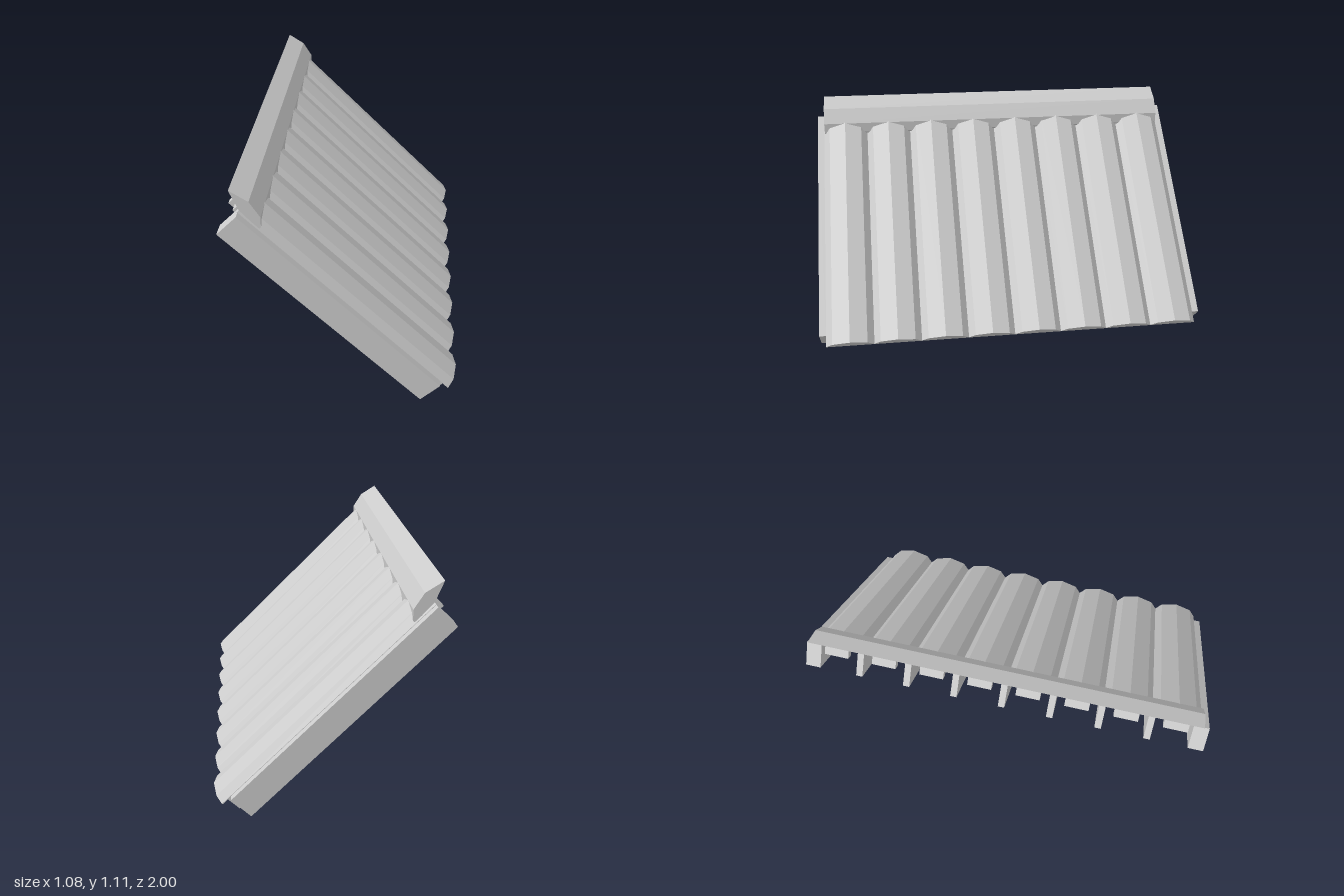
import * as THREE from 'three';

const mat = new THREE.MeshStandardMaterial({ color: 0xcccccc, flatShading: true });
const thinMat = new THREE.MeshStandardMaterial({ color: 0xcccccc, flatShading: true, side: THREE.DoubleSide });

const toShape = (points) => new THREE.Shape(points.map(([x, y]) => new THREE.Vector2(x, y)));

// Box given by its limits: x runs down the slope, y is square to it
function slab(name, x0, x1, y0, y1, z0, z1) {
  const mesh = new THREE.Mesh(new THREE.BoxGeometry(x1 - x0, y1 - y0, z1 - z0), mat);
  mesh.position.set((x0 + x1) / 2, (y0 + y1) / 2, (z0 + z1) / 2);
  mesh.name = name;
  return mesh;
}

// Bent sheet following a line of [x, y] points, stretched along z
function sheet(name, points, depth) {
  const geo = new THREE.PlaneGeometry(1, depth, points.length - 1, 1);
  const pos = geo.attributes.position;
  for (let i = 0; i < pos.count; i++) {
    const [x, y] = points[i % points.length];
    pos.setXYZ(i, x, y, pos.getY(i));
  }
  geo.computeVertexNormals();
  const mesh = new THREE.Mesh(geo, thinMat);
  mesh.name = name;
  return mesh;
}

export function createModel() {
  const model = new THREE.Group();
  model.name = 'roofSection';

  // Everything on the 45 degree pitch
  const pitch = new THREE.Group();
  pitch.name = 'pitchedRoof';
  pitch.rotation.z = -Math.PI / 4;
  model.add(pitch);

  const top = -1.027, eave = 0.26, under = 0.26, boardTop = 0.389;
  const tileTop = -1.029, tileEave = 0.318;

  // Barge boards and the end rafters inside them
  for (const s of [-1, 1]) {
    const z = s * 0.9825;
    pitch.add(slab('bargeBoard', top, eave, under, boardTop, z - 0.0175, z + 0.0175));
    const r = s * 0.945;
    pitch.add(slab('endRafter', top, eave, under, boardTop, r - 0.02, r + 0.02));
  }

  // Inner rafters
  const tiles = 8, width = 1.93 / tiles;
  for (let i = 1; i < tiles; i++) {
    const z = -0.965 + i * width;
    pitch.add(slab('rafter', top, eave, under, boardTop, z - 0.016, z + 0.016));
  }

  // Eaves fascia
  pitch.add(slab('fascia', eave, 0.283, 0.311, 0.389, -0.962, 0.962));

  // Columns of faceted tiles, each with a stop block at the top between the rafters
  const half = width / 2;
  const profile = toShape([
    [-half, 0.387], [half, 0.387], [half, 0.391], [half - 0.033, 0.426],
    [0, 0.445], [0.033 - half, 0.426], [-half, 0.391],
  ]);
  const tileGeo = new THREE.ExtrudeGeometry(profile, { depth: tileEave - tileTop, bevelEnabled: false });
  for (let i = 0; i < tiles; i++) {
    const z = -0.965 + (i + 0.5) * width;
    const column = new THREE.Mesh(tileGeo, mat);
    column.name = 'tileColumn';
    column.rotation.y = Math.PI / 2;
    column.position.set(tileTop, 0, z);
    pitch.add(column);
    pitch.add(slab('stopBlock', tileTop - 0.004, tileTop + 0.036, 0.346, 0.403, z - 0.06, z + 0.06));
  }

  // Ridge cap, open at the back and sunk into the valleys between the tiles
  const ridge = new THREE.Group();
  ridge.name = 'ridge';
  const bend = [[-0.484, 1.108], [-0.4, 1.055], [-0.353, 0.98], [-0.354, 0.93], [-0.36, 0.922], [-0.372, 0.93]];
  ridge.add(sheet('ridgeCap', bend, 1.92));
  const endGeo = new THREE.ShapeGeometry(toShape([...bend, [-0.445, 1.012]]));
  for (const z of [-0.96, 0.96]) {
    const end = new THREE.Mesh(endGeo, thinMat);
    end.name = 'ridgeEnd';
    end.position.z = z;
    ridge.add(end);
  }
  model.add(ridge);

  return model;
}
